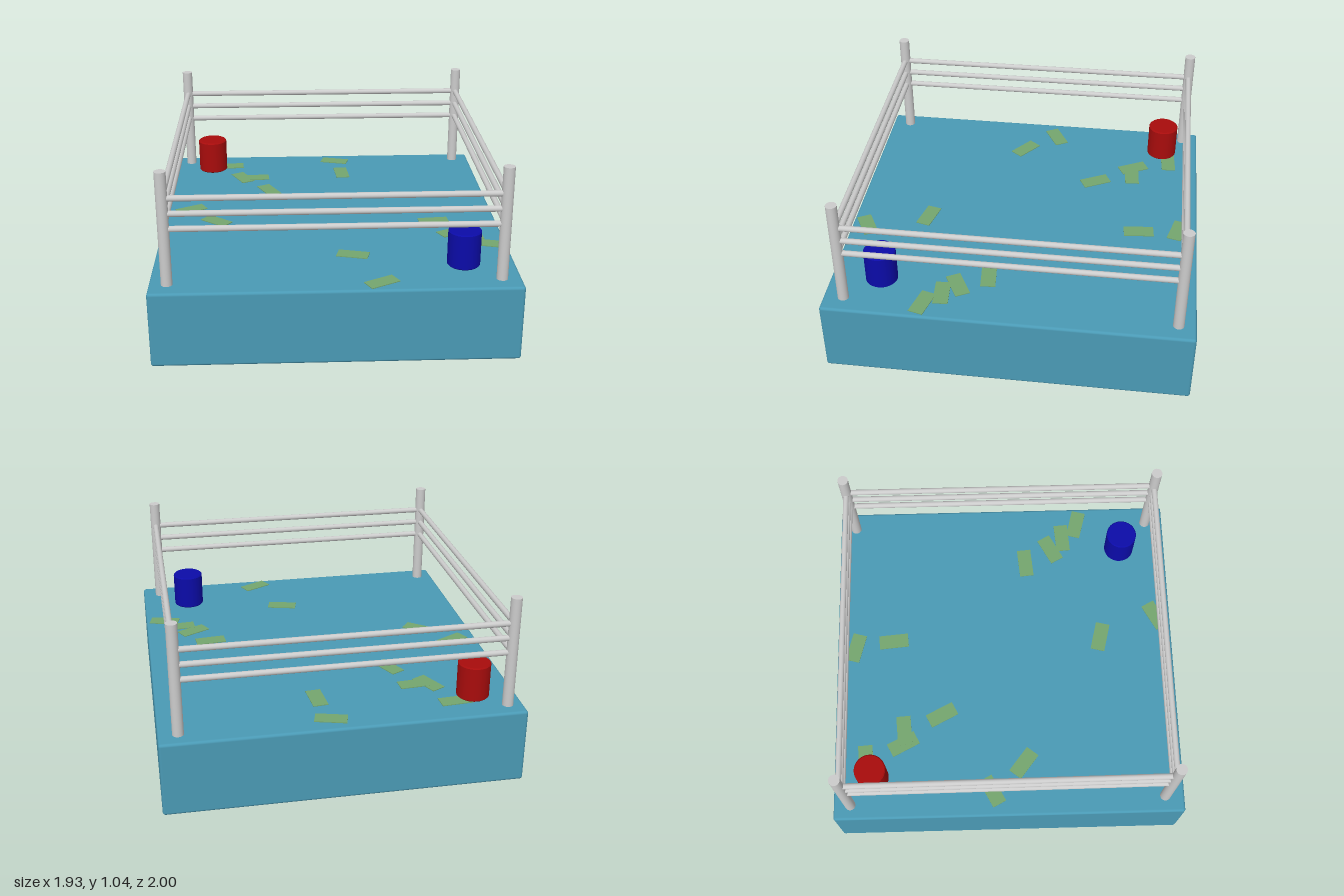
import * as THREE from 'three';
import { RoundedBoxGeometry } from 'three/addons/geometries/RoundedBoxGeometry.js';

const paint = (color) => new THREE.MeshStandardMaterial({ color });

export function createModel() {
  const model = new THREE.Group();
  const grey = paint(0xcccccc);
  const deck = 0.42;

  const add = (name, geometry, material, x, y, z) => {
    const mesh = new THREE.Mesh(geometry, material);
    mesh.name = name;
    mesh.position.set(x, y, z);
    model.add(mesh);
    return mesh;
  };

  // Platform with softened edges
  add('platform', new RoundedBoxGeometry(1.93, deck, 2, 2, 0.015), paint(0x4a9ab5), 0, deck / 2, 0);

  // Corner posts, in order around the ring
  const corners = [[-0.88, -0.905], [0.86, -0.905], [0.86, 0.89], [-0.87, 0.89]];
  const postGeometry = new THREE.CylinderGeometry(0.03, 0.03, 0.63, 24);
  corners.forEach(([x, z]) => add('cornerPost', postGeometry, grey, x, 0.725, z));

  // Three ropes on every side, from post to post
  const up = new THREE.Vector3(0, 1, 0);
  corners.forEach(([x, z], i) => {
    const [x2, z2] = corners[(i + 1) % 4];
    const span = new THREE.Vector3(x2 - x, 0, z2 - z);
    const ropeGeometry = new THREE.CylinderGeometry(0.016, 0.016, span.length(), 16);
    for (const y of [0.73, 0.813, 0.896]) {
      const rope = add('rope', ropeGeometry, grey, (x + x2) / 2, y, (z + z2) / 2);
      rope.quaternion.setFromUnitVectors(up, span.normalize());
    }
  });

  // Corner stools: drums with a small bevel at each rim
  const r = 0.088, h = 0.2, b = 0.006;
  const profile = [[0, 0], [r - b, 0], [r - b, 0], [r, b], [r, b], [r, h - b], [r, h - b], [r - b, h], [r - b, h], [0, h]];
  const drum = new THREE.LatheGeometry(profile.map(([x, y]) => new THREE.Vector2(x, y)), 32);
  add('redStool', drum, paint(0xa80c0c), -0.727, deck + 0.004, -0.775);
  add('blueStool', drum, paint(0x0b0ba8), 0.685, deck + 0.004, 0.717);

  // Paper notes scattered on the deck: x, z, turn in degrees
  const notes = [
    [-0.62, -0.82, 4], [0.07, -0.89, -15], [0.105, -0.665, -85], [-0.53, -0.605, -63],
    [-0.45, -0.6, 4], [-0.36, -0.38, -63], [-0.82, -0.095, 28], [-0.66, 0.09, -38],
    [0.6, 0.138, 5], [0.69, 0.295, 28], [0.765, 0.37, 4], [0.855, 0.46, -15],
    [0.105, 0.572, -14], [0.235, 0.91, 28],
  ];
  const noteGeometry = new THREE.BoxGeometry(0.172, 0.004, 0.083);
  const noteMaterial = paint(0x74a56e);
  notes.forEach(([x, z, turn], i) => {
    const note = add('paperNote', noteGeometry, noteMaterial, x, deck + 0.002 + 0.001 * (i % 3), z);
    note.rotation.y = THREE.MathUtils.degToRad(turn);
  });

  return model;
}
